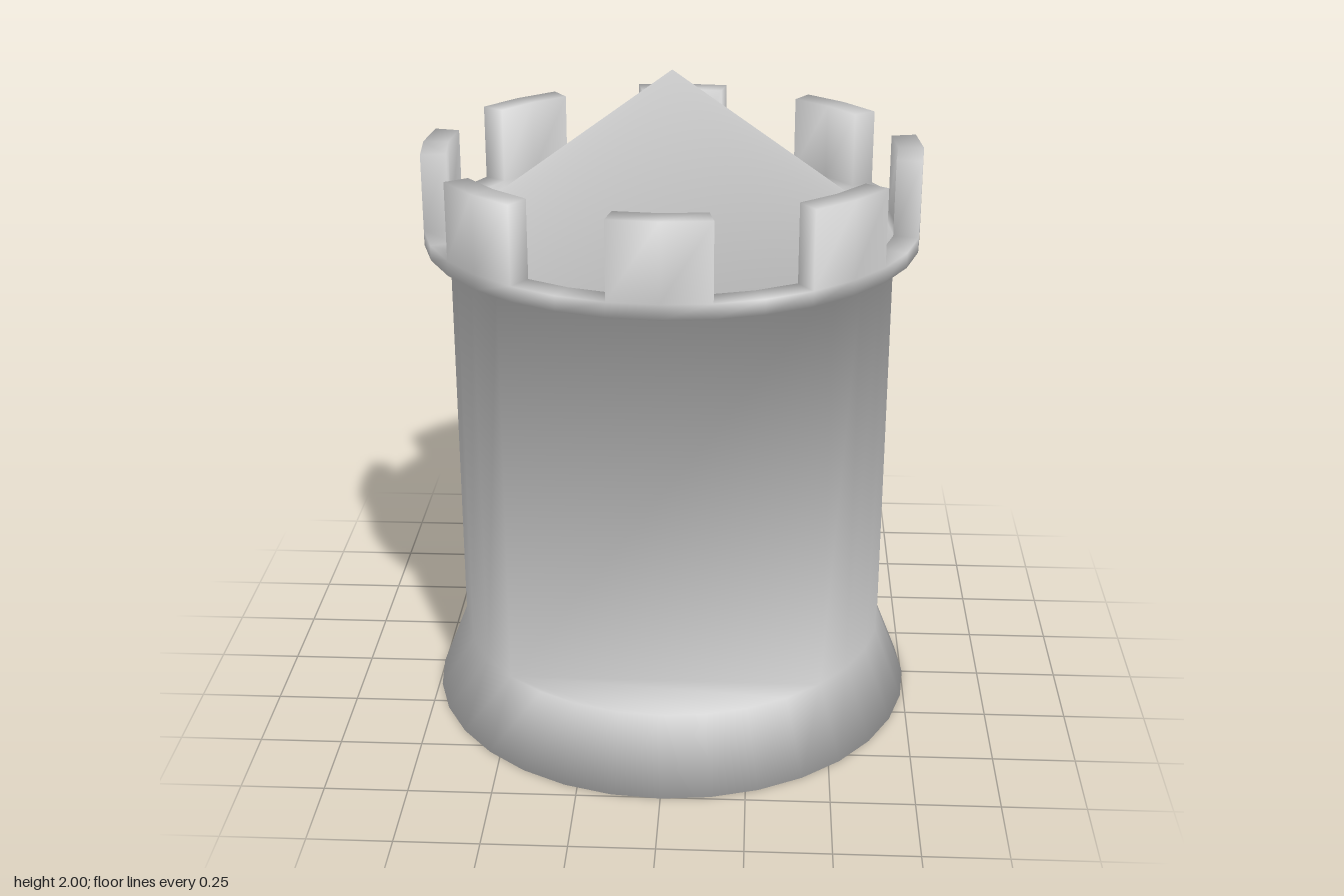
import * as THREE from 'three';

const SIDES = 32;
const CORNER = 4; // the flat front spans sides -4 to 4

// Rings of vertices as [radius, height], from the ground up and over the parapet
const RINGS = {
  foot: [0.755, 0],
  shoulder: [0.665, 0.23],
  shaftTop: [0.665, 1.5],
  rimOuter: [0.74, 1.5],
  lipOuter: [0.74, 1.545],
  crownOuter: [0.74, 1.775],
  crownInner: [0.665, 1.775],
  lipInner: [0.665, 1.545],
  roofRim: [0.665, 1.5],
};
const NAMES = Object.keys(RINGS);
const APEX = NAMES.length * SIDES;

// Vertex number of side i on a ring; sides run from +z towards +x
const at = (ring, i) => NAMES.indexOf(ring) * SIDES + ((i + SIDES) % SIDES);

function ringPositions() {
  const positions = [];
  for (const [radius, y] of Object.values(RINGS)) {
    for (let i = 0; i < SIDES; i++) {
      const angle = (i / SIDES) * Math.PI * 2;
      positions.push(radius * Math.sin(angle), y, radius * Math.cos(angle));
    }
  }
  positions.push(0, 2, 0);
  return new THREE.Float32BufferAttribute(positions, 3);
}

// Smooth normals, each face weighted by its corner angle
function smoothNormals(position, indices) {
  const point = (i) => new THREE.Vector3().fromBufferAttribute(position, i);
  const normals = Array.from({ length: position.count }, () => new THREE.Vector3());
  for (let t = 0; t < indices.length; t += 3) {
    for (let k = 0; k < 3; k++) {
      const id = indices[t + k];
      const u = point(indices[t + ((k + 1) % 3)]).sub(point(id));
      const v = point(indices[t + ((k + 2) % 3)]).sub(point(id));
      const weight = u.angleTo(v);
      normals[id].addScaledVector(u.cross(v).normalize(), weight);
    }
  }
  return new THREE.Float32BufferAttribute(normals.flatMap((n) => n.normalize().toArray()), 3);
}

export function createModel() {
  const parts = {};

  // Polygon as a fan, corners anticlockwise from outside
  const face = (part, ids) => {
    parts[part] ??= [];
    for (let k = 1; k < ids.length - 1; k++) parts[part].push(ids[0], ids[k], ids[k + 1]);
  };
  // Band of quads between two rings, from side "from" to side "to"
  const band = (part, a, b, from = 0, to = SIDES) => {
    for (let i = from; i < to; i++) face(part, [at(a, i), at(a, i + 1), at(b, i + 1), at(b, i)]);
  };
  const ringLoop = (ring, from, to) => Array.from({ length: to - from + 1 }, (_, k) => at(ring, from + k));

  // Flared foot with its underside and the ledge below the flat front
  face('foot', ringLoop('foot', 0, SIDES - 1).reverse());
  band('foot', 'foot', 'shoulder');
  face('foot', ringLoop('shoulder', -CORNER, CORNER));

  // Round shaft with a flat front
  band('shaft', 'shoulder', 'shaftTop', CORNER, SIDES - CORNER);
  face('shaft', [at('shoulder', -CORNER), at('shoulder', CORNER), at('shaftTop', CORNER), at('shaftTop', -CORNER)]);

  // Parapet: overhang above the flat front, underside, outer and inner edge
  face('parapetRing', ringLoop('shaftTop', -CORNER, CORNER).reverse());
  band('parapetRing', 'shaftTop', 'rimOuter');
  band('parapetRing', 'rimOuter', 'lipOuter');
  band('parapetRing', 'lipInner', 'roofRim');

  // Eight battlements, two sides wide, with gaps of the same width
  for (let n = 0; n < 8; n++) {
    const from = n * 4 - 1, to = from + 2;
    const name = `battlement${n + 1}`;
    const end = (i) => ['lipOuter', 'lipInner', 'crownInner', 'crownOuter'].map((ring) => at(ring, i));
    band(name, 'lipOuter', 'crownOuter', from, to);
    band(name, 'crownOuter', 'crownInner', from, to);
    band(name, 'crownInner', 'lipInner', from, to);
    face(name, end(to));
    face(name, end(from).reverse());
    band('parapetRing', 'lipOuter', 'lipInner', to, to + 2);
  }

  // Conical roof
  for (let i = 0; i < SIDES; i++) face('roof', [at('roofRim', i), at('roofRim', i + 1), APEX]);

  // All parts share their vertices, so the shading flows from one to the next
  const position = ringPositions();
  const normal = smoothNormals(position, Object.values(parts).flat());
  const material = new THREE.MeshStandardMaterial({ color: 0xcccccc });
  const group = new THREE.Group();
  for (const [name, indices] of Object.entries(parts)) {
    const geometry = new THREE.BufferGeometry();
    geometry.setAttribute('position', position);
    geometry.setAttribute('normal', normal);
    geometry.setIndex(indices);
    const mesh = new THREE.Mesh(geometry, material);
    mesh.name = name;
    group.add(mesh);
  }
  return group;
}
